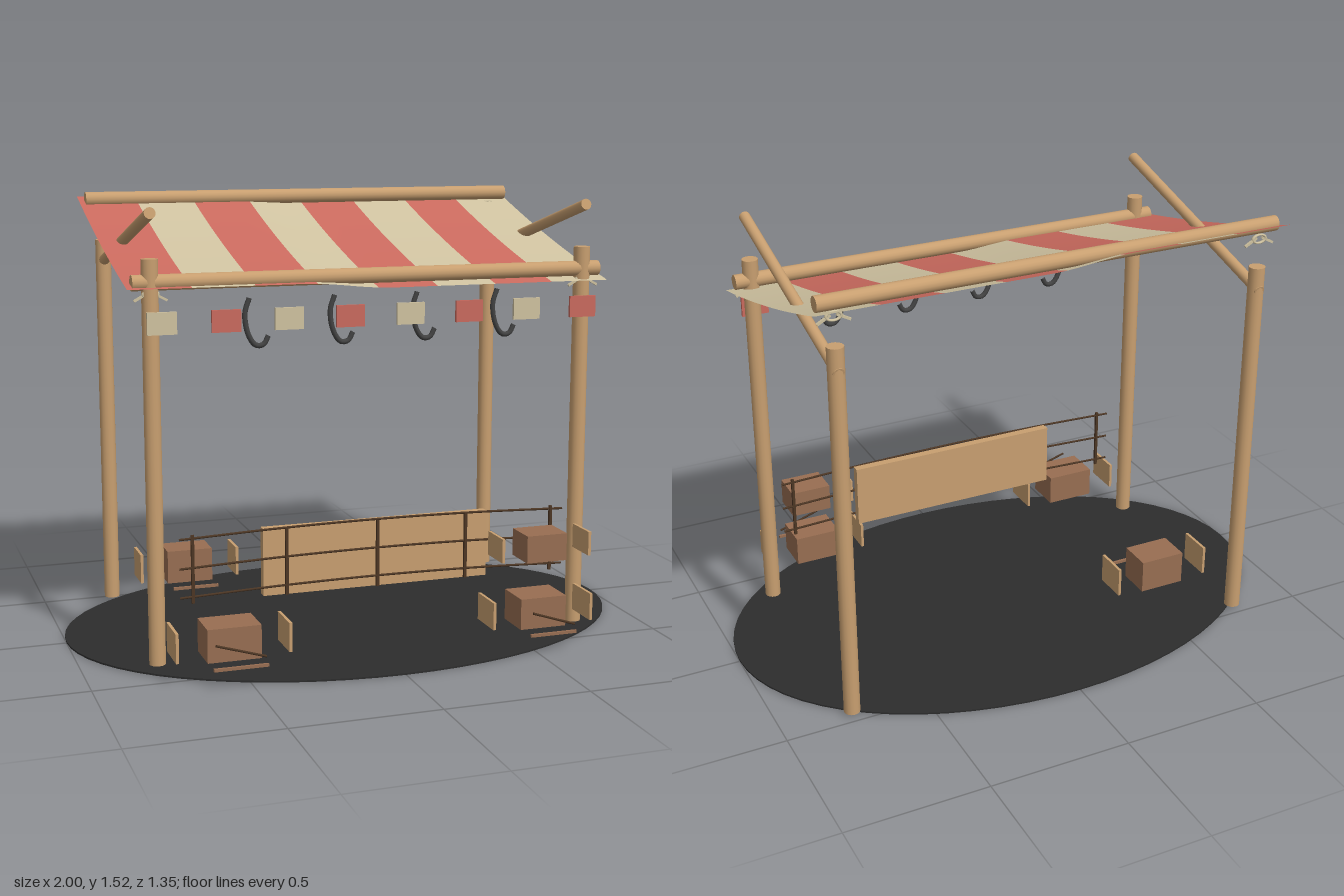
import * as THREE from 'three';

export function createModel() {
  const root = new THREE.Group();
  const mat = (name, color, side = THREE.FrontSide) => {
    const m = new THREE.MeshStandardMaterial({ color, side });
    m.name = name;
    return m;
  };
  const wood = mat('tan wood', 0xc89f70);
  const crateWood = mat('brown crate wood', 0x986e52);
  const red = mat('red cloth', 0xca6a5e, THREE.DoubleSide);
  const cream = mat('cream cloth', 0xcfc2a0, THREE.DoubleSide);
  const ground = mat('dark ground', 0x2d2d2d);
  const iron = mat('dark iron', 0x434343);
  const darkWood = mat('dark brown rail', 0x4c3624);

  const V = (x, y, z) => new THREE.Vector3(x, y, z);
  const add = (name, geometry, material, parent = root) => {
    const m = new THREE.Mesh(geometry, material);
    m.name = name;
    parent.add(m);
    return m;
  };
  const box = (name, material, w, h, d, x, y, z, parent) => {
    const m = add(name, new THREE.BoxGeometry(w, h, d), material, parent);
    m.position.set(x, y, z);
    return m;
  };
  // Round pole between two points
  const pole = (name, material, a, b, r, sides = 16) => {
    const dir = b.clone().sub(a);
    const m = add(name, new THREE.CylinderGeometry(r, r, dir.length(), sides), material);
    m.position.copy(a).add(b).multiplyScalar(0.5);
    m.quaternion.setFromUnitVectors(V(0, 1, 0), dir.normalize());
    return m;
  };
  const tube = (name, material, pts, r, seg = 24) =>
    add(name, new THREE.TubeGeometry(new THREE.CatmullRomCurve3(pts), seg, r, 8), material);

  // Oval base
  const base = add('groundDisc', new THREE.CylinderGeometry(1, 1, 0.006, 64), ground);
  base.scale.z = 0.673;
  base.position.y = 0.003;

  // Timber frame: posts, sloping braces and cross beams
  for (const x of [-0.755, 0.755]) {
    for (const z of [0.352, -0.458]) pole('post', wood, V(x, 0.015, z), V(x, 1.35, z), 0.028);
    pole('brace', wood, V(x, 1.495, 0.376), V(x, 1.268, -0.482), 0.019);
  }
  pole('frontBeam', wood, V(-0.815, 1.275, 0.352), V(0.815, 1.275, 0.352), 0.026);
  pole('rearBeam', wood, V(-0.815, 1.495, -0.458), V(0.815, 1.495, -0.458), 0.026);

  // Sagging striped awning, slightly lower on its left half
  const W = 1.67 / 8;
  for (let i = 0; i < 8; i++) {
    const g = new THREE.PlaneGeometry(W, 0.905, 6, 20).rotateX(-Math.PI / 2);
    const p = g.attributes.position;
    for (let k = 0; k < p.count; k++) {
      const x = p.getX(k) - 0.835 + W * (i + 0.5);
      const z = p.getZ(k) - 0.062;
      const t = (0.39 - z) / 0.905;
      const step = 0.011 - 0.022 * THREE.MathUtils.smoothstep(x, -0.25, 0.05);
      p.setXYZ(k, x, 1.247 + 0.245 * t - 0.055 * t * (1 - t) + step, z);
    }
    g.computeVertexNormals();
    add('awningStripe', g, i % 2 ? cream : red);
  }

  // Rope lashings under the beam ends
  for (const x of [-0.755, 0.755]) {
    for (const [y, z] of [[1.238, 0.362], [1.448, -0.458]]) {
      const knot = new THREE.Group();
      knot.name = 'lashing';
      knot.position.set(x, y, z);
      const loop = add('lashingLoop', new THREE.TorusGeometry(0.024, 0.006, 8, 20), cream, knot);
      loop.scale.y = 0.6;
      for (const s of [-1, 1]) {
        const end = box('lashingEnd', cream, 0.05, 0.008, 0.008, s * 0.032, -0.008, 0, knot);
        end.rotation.z = -s * 0.5;
      }
      root.add(knot);
    }
  }

  // Row of hanging cloth tags
  for (let i = 0; i < 8; i++) {
    box('hangingTag', i % 2 ? red : cream, 0.096, 0.072, 0.01, -0.733 + i * 0.2086, 1.152, 0.42);
  }

  // Iron hooks
  for (let i = 0; i < 4; i++) {
    const x = -0.435 + i * 0.29;
    tube('hook', iron, [[0.005, 1.215], [-0.01, 1.165], [0.001, 1.095], [0.026, 1.06],
      [0.052, 1.062], [0.068, 1.09]].map(([dx, y]) => V(x + dx, y, 0.352)), 0.009);
  }

  // Counter panel with uprights and bowed rails
  box('counterPanel', wood, 0.8, 0.23, 0.03, 0, 0.337, 0.37);
  for (let i = -2; i <= 2; i++) box('railUpright', darkWood, 0.01, 0.23, 0.01, i * 0.32, 0.337, 0.39);
  for (const y of [0.455, 0.356, 0.258]) {
    tube('rail', darkWood, [V(-0.685, y - 0.016, 0.389), V(-0.34, y - 0.004, 0.389), V(0, y, 0.389),
      V(0.34, y - 0.004, 0.389), V(0.685, y - 0.016, 0.389)], 0.004, 32);
  }

  // Crates with boards standing off either side: x, y, z, width, height, depth, gap
  const crates = [
    [-0.545, 0.125, 0.489, 0.18, 0.112, 0.135, 0.188],
    [0.543, 0.122, 0.489, 0.167, 0.107, 0.135, 0.18],
    [0.567, 0.338, 0.463, 0.147, 0.095, 0.122, 0.161],
    [-0.503, 0.165, -0.305, 0.166, 0.12, 0.122, 0.178],
  ];
  crates.forEach(([x, y, z, w, h, d, gap], i) => {
    box('crate', crateWood, w, h, d, x, y, z);
    for (const s of [-1, 1]) box('crateSideBoard', wood, 0.01, h * 0.88, d, x + s * gap, y + 0.003, z);
    // Loose slats in front of the crates on the ground
    if (i !== 2) box('frontSlat', crateWood, w, 0.01, 0.009, x, y - h / 2 + 0.005, z + 0.15);
    if (i < 2) {
      pole('diagonalSlat', darkWood, V(x - w * 0.46, y + 0.029, z + 0.15),
        V(x + w * 0.46, y - 0.022, z + 0.15), 0.004, 8);
    }
  });
  return root;
}
